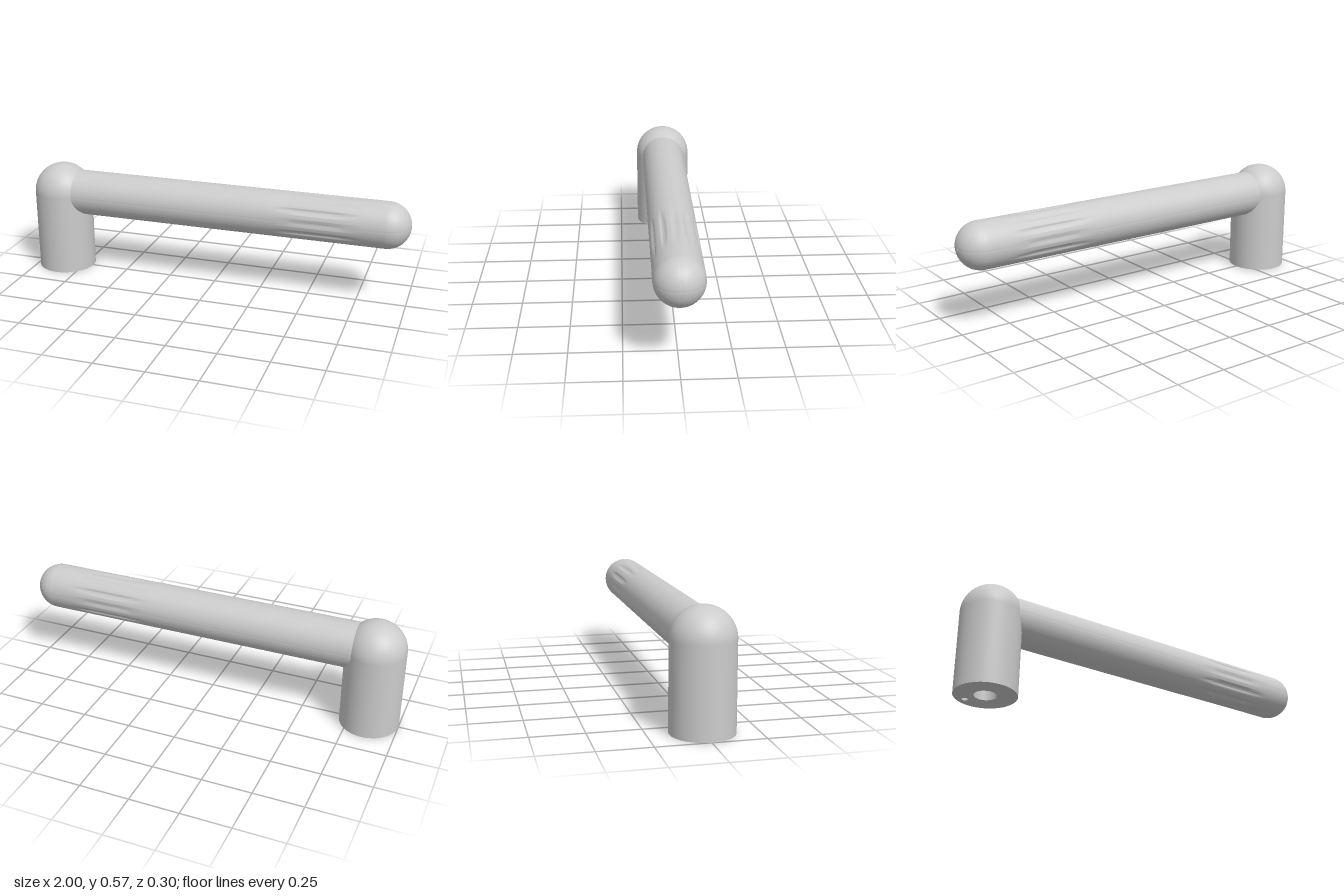
import * as THREE from 'three';
import { toCreasedNormals } from 'three/addons/utils/BufferGeometryUtils.js';

const POST_X = -0.85, POST_R = 0.15, ARM_Y = 0.421, ARM_R = 0.117;
const GROOVES = 12, GROOVE_X = 0.55, GROOVE_HALF = 0.25, GROOVE_DEPTH = 0.007;

const grey = new THREE.MeshStandardMaterial({ color: 0xcccccc });
const inside = new THREE.MeshStandardMaterial({ color: 0xcccccc, side: THREE.BackSide });

function part(name, geometry, material = grey) {
  const mesh = new THREE.Mesh(geometry, material);
  mesh.name = name;
  return mesh;
}

// Quarter-circle profile from the equator (y = cy) up to the radius rEnd near the pole
function domeProfile(r, cy, rEnd, steps) {
  const end = Math.acos(rEnd / r);
  return Array.from({ length: steps + 1 }, (_, i) => {
    const a = (i / steps) * end;
    return new THREE.Vector2(r * Math.cos(a), cy + r * Math.sin(a));
  });
}

// Blind hole in the underside: wall and ceiling
function blindHole(name, r, x, z, depth) {
  const hole = new THREE.Group();
  hole.name = name;
  const wall = part('holeWall', new THREE.CylinderGeometry(r, r, depth, 32, 1, true), inside);
  wall.position.y = depth / 2;
  const end = part('holeEnd', new THREE.CircleGeometry(r, 32).rotateX(Math.PI / 2));
  end.position.y = depth;
  hole.add(wall, end);
  hole.position.set(x, 0, z);
  return hole;
}

// Upright post with a domed top and holes in its base
function createPost() {
  const post = new THREE.Group();
  post.name = 'post';
  const profile = [new THREE.Vector2(POST_R, 0), ...domeProfile(POST_R, ARM_Y, 0, 24)];
  post.add(part('postBody', new THREE.LatheGeometry(profile, 72)));

  const holes = [
    { name: 'spindleHole', r: 0.054, x: 0, z: 0, depth: 0.28 },
    { name: 'pinHole', r: 0.016, x: -0.06, z: -0.09, depth: 0.12 },
  ];
  const base = new THREE.Shape().absarc(0, 0, POST_R, 0, Math.PI * 2);
  for (const h of holes) {
    base.holes.push(new THREE.Path().absarc(h.x, h.z, h.r, 0, Math.PI * 2, true));
    post.add(blindHole(h.name, h.r, h.x, h.z, h.depth));
  }
  post.add(part('postBase', new THREE.ShapeGeometry(base, 36).rotateX(Math.PI / 2)));
  post.position.x = POST_X;
  return post;
}

// Round lever arm with fading grip grooves, a ball end and a tiny pit at its tip
function createArm() {
  const start = GROOVE_X - GROOVE_HALF, steps = 32, pit = 0.004;
  const profile = [new THREE.Vector2(ARM_R, POST_X)];
  for (let i = 0; i <= steps; i++) {
    profile.push(new THREE.Vector2(ARM_R, start + (2 * GROOVE_HALF * i) / steps));
  }
  profile.push(...domeProfile(ARM_R, 1 - ARM_R, pit, 20));
  profile.push(new THREE.Vector2(pit, 0.988), new THREE.Vector2(0, 0.988));

  const geo = new THREE.LatheGeometry(profile, 192);
  const pos = geo.attributes.position;
  for (let i = 0; i < pos.count; i++) {
    const x = pos.getX(i), along = pos.getY(i), z = pos.getZ(i);
    const t = Math.abs(along - GROOVE_X) / GROOVE_HALF;
    if (t >= 1) continue;
    // Full depth in the middle, fading smoothly and narrowing to both ends
    const fade = 1 - THREE.MathUtils.smoothstep(t, 0.3, 1);
    const wave = Math.max(0, Math.cos(Math.atan2(z, x) * GROOVES));
    const k = 1 - (GROOVE_DEPTH * fade * wave ** (1 + t)) / ARM_R;
    pos.setXYZ(i, x * k, along, z * k);
  }
  geo.rotateZ(-Math.PI / 2);
  const arm = part('leverArm', toCreasedNormals(geo, 0.7));
  arm.position.y = ARM_Y;
  return arm;
}

export function createModel() {
  const model = new THREE.Group();
  model.name = 'leverHandle';
  model.add(createPost(), createArm());
  return model;
}
